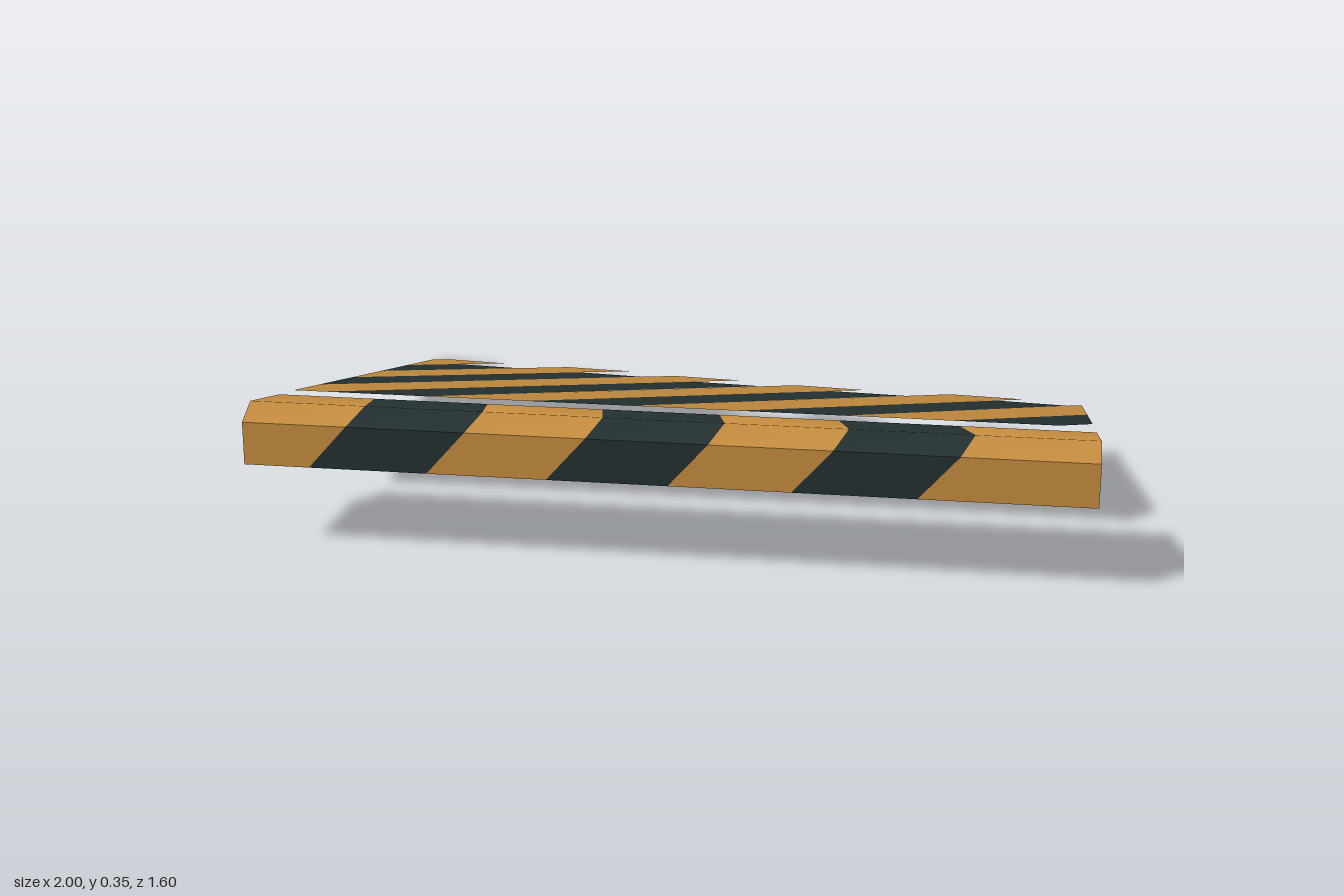
import * as THREE from 'three';
import { toCreasedNormals } from 'three/addons/utils/BufferGeometryUtils.js';

// Bar cross-section as [z, y]
const BAR_PROFILE = [[0.795, 0.218], [0.79, 0.322], [0.73, 0.356], [0.544, 0.313], [0.578, 0.218]];
const BAR_BASE = 0.218;
const BAR_SLANT = 0.9;

// Panel stripes as [x, z] outlines, alternating gold and dark from the back left corner
const FRONT = 0.447;
const STRIPES = [
  [[-1, -0.76], [-0.96, -0.8], [-0.76, -0.735], [-0.88, -0.62], [-1, -0.5]],
  [[-1, -0.5], [-0.88, -0.62], [-0.675, -0.565], [-1, -0.25]],
  [[-1, -0.25], [-0.543, -0.692], [-0.34, -0.634], [-1, 0]],
  [[-1, 0], [-0.47, -0.51], [-0.265, -0.446], [-1, 0.26]],
  [[-1, 0.26], [-0.18, -0.532], [0.024, -0.473], [-0.917, FRONT], [-1, FRONT]],
  [[-0.917, FRONT], [-0.094, -0.356], [0.104, -0.302], [-0.655, FRONT]],
  [[-0.655, FRONT], [0.2, -0.388], [0.4, -0.329], [-0.393, FRONT]],
  [[-0.393, FRONT], [0.313, -0.243], [0.52, -0.195], [-0.131, FRONT]],
  [[-0.131, FRONT], [0.644, -0.313], [0.848, -0.25], [0.136, FRONT]],
  [[0.136, FRONT], [0.772, -0.174], [0.96, -0.11], [0.398, FRONT]],
  [[0.398, FRONT], [0.96, -0.11], [1, -0.142], [1, 0.126], [0.66, FRONT]],
  [[0.66, FRONT], [1, 0.126], [1, 0.37], [0.917, FRONT]],
];

// Shape with the depth axis flipped, so it can be turned into place
const shapeFrom = (points) => new THREE.Shape(points.map(([a, b]) => new THREE.Vector2(a, b)));

// One bar segment between two slanted (or, at the ends, upright) cuts
function barSegment(left, right) {
  const geo = new THREE.ExtrudeGeometry(shapeFrom(BAR_PROFILE.map(([z, y]) => [-z, y])), {
    depth: 1, bevelEnabled: false,
  });
  geo.rotateY(Math.PI / 2);
  const pos = geo.attributes.position;
  for (let i = 0; i < pos.count; i++) {
    const cut = pos.getX(i) < 0.5 ? left : right;
    pos.setX(i, cut.x + cut.slant * (pos.getY(i) - BAR_BASE));
  }
  return toCreasedNormals(geo, 0.9);
}

// One flat stripe lying on the sloping plane of the panel
function panelStripe(points) {
  const geo = new THREE.ShapeGeometry(shapeFrom(points.map(([x, z]) => [x, -z])));
  geo.rotateX(-Math.PI / 2);
  const pos = geo.attributes.position;
  for (let i = 0; i < pos.count; i++) pos.setY(i, 0.19 + 0.231 * pos.getZ(i));
  geo.computeVertexNormals();
  return geo;
}

export function createModel() {
  const gold = new THREE.MeshStandardMaterial({ color: 0xc58c3f, side: THREE.DoubleSide });
  gold.name = 'gold';
  const dark = new THREE.MeshStandardMaterial({ color: 0x243030, side: THREE.DoubleSide });
  dark.name = 'dark slate';

  const model = new THREE.Group();
  model.name = 'stripedBarAndPanel';

  // Front bar, cut into slanted colour bands
  const bar = new THREE.Group();
  bar.name = 'bar';
  const cuts = [{ x: -1, slant: 0 }];
  for (let i = 0; i < 6; i++) cuts.push({ x: -0.84 + i * 0.287, slant: BAR_SLANT });
  cuts.push({ x: 1, slant: 0 });
  for (let i = 0; i < 7; i++) {
    const mesh = new THREE.Mesh(barSegment(cuts[i], cuts[i + 1]), i % 2 ? dark : gold);
    mesh.name = `barBand${i + 1}`;
    bar.add(mesh);
  }
  model.add(bar);

  // Sloping sheet of diagonal stripes with a ragged rear edge
  const panel = new THREE.Group();
  panel.name = 'panel';
  STRIPES.forEach((points, i) => {
    const mesh = new THREE.Mesh(panelStripe(points), i % 2 ? dark : gold);
    mesh.name = `panelStripe${i + 1}`;
    panel.add(mesh);
  });
  model.add(panel);

  return model;
}
